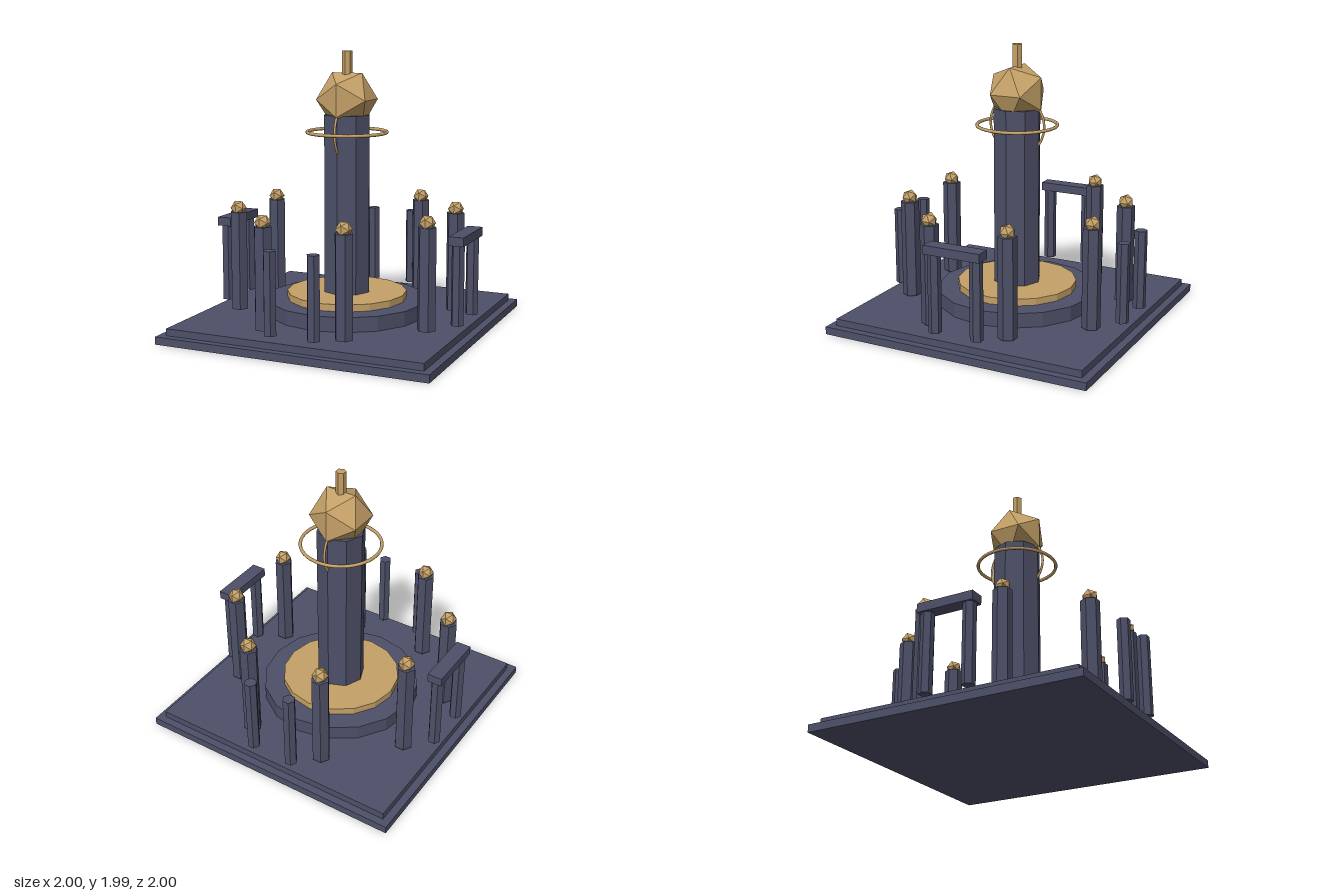
import * as THREE from 'three';

const stone = new THREE.MeshStandardMaterial({ color: 0x4d5068, flatShading: true });
const gold = new THREE.MeshStandardMaterial({ color: 0xc4a067, flatShading: true });
const goldSmooth = new THREE.MeshStandardMaterial({ color: 0xc4a067 });

export function createModel() {
  const model = new THREE.Group();

  function add(name, geometry, material, x, y, z) {
    const mesh = new THREE.Mesh(geometry, material);
    mesh.name = name;
    mesh.position.set(x, y, z);
    model.add(mesh);
    return mesh;
  }
  // Box and prism placed by their bottom and top heights
  const slab = (name, w, d, y0, y1, x = 0, z = 0) =>
    add(name, new THREE.BoxGeometry(w, y1 - y0, d), stone, x, (y0 + y1) / 2, z);
  const prism = (name, r, sides, y0, y1, material, x = 0, z = 0) =>
    add(name, new THREE.CylinderGeometry(r, r, y1 - y0, sides), material, x, (y0 + y1) / 2, z);

  // Stepped square base
  slab('baseSlab', 2, 2, 0, 0.055);
  slab('baseStep', 1.89, 1.89, 0.055, 0.105);

  // Round dais with gold inlay
  prism('dais', 0.58, 16, 0.105, 0.21, stone);
  prism('daisInlay', 0.434, 16, 0.21, 0.26, gold);

  // Central column, crystal and spire
  prism('column', 0.173, 8, 0.26, 1.54, stone);
  add('crystal', new THREE.IcosahedronGeometry(0.221, 0), gold, 0, 1.648, 0);
  prism('spire', 0.037, 6, 1.78, 1.99, gold);

  // Crossed rings around the column
  const flatRing = add('horizontalRing', new THREE.TorusGeometry(0.285, 0.012, 8, 48), goldSmooth, 0, 1.415, 0);
  flatRing.rotation.x = Math.PI / 2;
  const uprightRing = add('verticalRing', new THREE.TorusGeometry(0.213, 0.009, 8, 48), goldSmooth, 0, 1.415, 0);
  uprightRing.rotation.y = Math.PI / 2;

  // Circle of eight pillars, each topped with a small crystal
  for (let i = 0; i < 8; i++) {
    const a = (i + 0.5) * Math.PI / 4;
    const x = 0.783 * Math.cos(a), z = 0.783 * Math.sin(a);
    prism('pillar', 0.066, 6, 0.12, 0.835, stone, x, z).rotation.y = Math.PI / 6;
    add('pillarCrystal', new THREE.IcosahedronGeometry(0.058, 0), gold, x, 0.862, z);
  }

  // Paired gate posts on all four sides, with lintels on left and right
  for (const side of [-1, 1]) {
    for (const offset of [-0.16, 0.16]) {
      prism('sideGatePost', 0.046, 6, 0.14, 0.715, stone, side * 0.897, offset).rotation.y = Math.PI / 6;
      prism('endGatePost', 0.046, 6, 0.14, 0.715, stone, offset, side * 0.897).rotation.y = Math.PI / 6;
    }
    slab('lintel', 0.107, 0.425, 0.7, 0.763, side * 0.897, 0);
  }

  return model;
}
